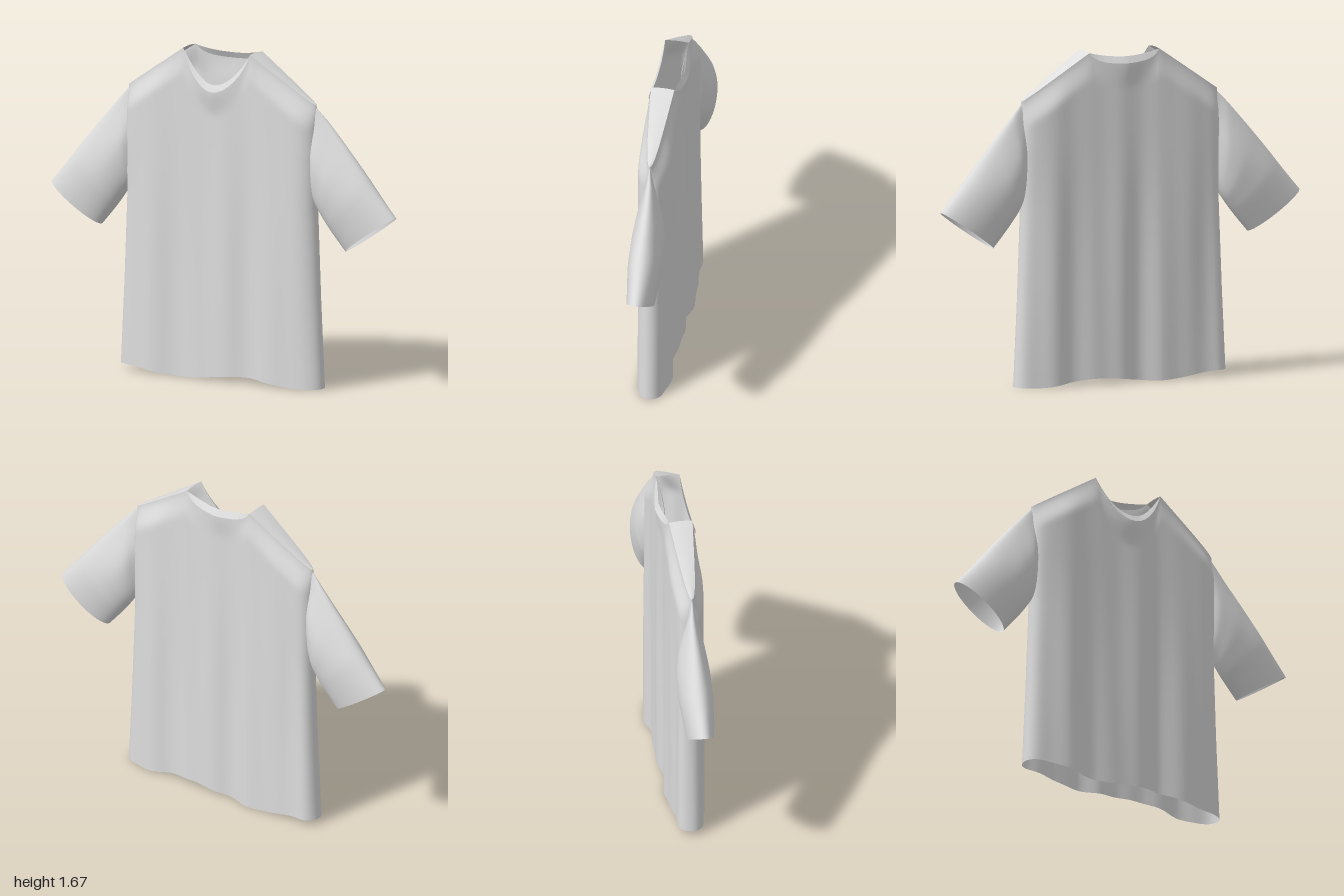
import * as THREE from 'three';
import { mergeGeometries, mergeVertices } from 'three/addons/utils/BufferGeometryUtils.js';

const { lerp, smoothstep } = THREE.MathUtils;
const SHOULDER_X = 0.545, NECK_X = 0.195, NECK_Y = 1.67, SHOULDER_Y = 1.44;

// Piecewise interpolation through [key, value] pairs
function table(pairs, k) {
  if (k <= pairs[0][0]) return pairs[0][1];
  for (let i = 1; i < pairs.length; i++) {
    const [a, va] = pairs[i - 1], [b, vb] = pairs[i];
    if (k <= b) return lerp(va, vb, (k - a) / (b - a));
  }
  return pairs[pairs.length - 1][1];
}

// Grid surface from a rule (i, j) -> [x, y, z]
function grid(nu, nv, rule, flip) {
  const pos = [], index = [];
  for (let j = 0; j <= nv; j++) for (let i = 0; i <= nu; i++) pos.push(...rule(i, j));
  for (let j = 0; j < nv; j++) for (let i = 0; i < nu; i++) {
    const a = j * (nu + 1) + i, b = a + 1, c = a + nu + 1, d = c + 1;
    if (flip) index.push(a, d, b, a, c, d);
    else index.push(a, b, d, a, d, c);
  }
  const g = new THREE.BufferGeometry();
  g.setAttribute('position', new THREE.Float32BufferAttribute(pos, 3));
  g.setIndex(index);
  return g;
}

function smooth(geometry) {
  const g = mergeVertices(geometry, 1e-4);
  g.computeVertexNormals();
  return g;
}

// Outline rules for the body
const bodyWidth = y => table([[0, 0.585], [0.45, 0.563], [0.9, 0.546], [1.2, 0.55], [1.44, SHOULDER_X]], y);
const hemY = x => 0.015 + 0.015 * Math.cos((x - 0.15) * 9);
const edgeRound = u => Math.sqrt(Math.max(0, 1 - Math.abs(u) ** 12));

// Neck opening: inner rim, and the seam where the collar meets the body
const neckT = x => Math.min(1, Math.abs(x) / NECK_X);
function neckRim(x, side) {
  const t = neckT(x);
  return side > 0 ? 1.503 + 0.167 * t ** 1.9 : 1.645 + 0.025 * t ** 2;
}
const neckSeam = (x, side) => neckRim(x, side) - 0.03 * (1 - neckT(x) ** 6);
const neckZ = (x, side) => 0.06 + (side > 0 ? 0.04 : 0.03) * (1 - neckT(x) ** 1.3);

function topY(x, side) {
  const ax = Math.abs(x);
  if (ax < NECK_X - 1e-6) return neckSeam(x, side);
  return lerp(NECK_Y, SHOULDER_Y, (ax - NECK_X) / (SHOULDER_X - NECK_X));
}
function topZ(x, side) {
  const ax = Math.abs(x);
  if (ax < NECK_X) return neckZ(x, side);
  return lerp(0.06, 0.02, (ax - NECK_X) / (SHOULDER_X - NECK_X));
}

// Soft vertical folds, different on front and back
function folds(x, y, side) {
  const drift = 0.12 * (1.4 - y);
  const f = side > 0
    ? Math.sin(17 * x + drift * 3 + 1.2) + 0.6 * Math.sin(29 * x - drift * 4)
    : Math.sin(19 * x - drift * 3 + 0.4) + 0.6 * Math.sin(33 * x + drift * 2 + 1);
  return 0.0085 * f * lerp(1, 0.35, smoothstep(y, 0.5, 1.4));
}

// Columns across the body, denser at the rounded sides
const neckU = NECK_X / SHOULDER_X, columns = [];
for (let k = 18; k > 0; k--) columns.push(-neckU - (1 - neckU) * Math.sin(k / 18 * Math.PI / 2));
for (let k = -12; k <= 12; k++) columns.push(neckU * k / 12);
for (let k = 1; k <= 18; k++) columns.push(neckU + (1 - neckU) * Math.sin(k / 18 * Math.PI / 2));

function bodyPanel(side) {
  const rows = 48;
  return grid(columns.length - 1, rows, (i, j) => {
    const u = columns[i], xTop = u * SHOULDER_X;
    const v = 1 - (1 - j / rows) ** 1.6;
    const top = topY(xTop, side);
    const y = lerp(hemY(u * 0.585), top, v);
    const x = u * bodyWidth(y);
    const blend = smoothstep(top - y, 0, 0.14);
    const z = lerp(topZ(xTop, side), 0.077 + folds(x, y, side), blend);
    return [x, y, side * z * edgeRound(u)];
  }, side < 0);
}

// Narrow strip over the shoulder joining front and back
function shoulderStrip(sx) {
  return grid(18, 4, (i, j) => {
    const u = neckU + (1 - neckU) * Math.sin(i / 18 * Math.PI / 2), x = u * SHOULDER_X;
    const w = 1 - j / 2;
    return [sx * x, topY(x, 1) + 0.004 * (1 - w * w), w * topZ(x, 1) * edgeRound(u)];
  }, sx < 0);
}

// Collar band standing just proud of the body
function collarBand(side) {
  return grid(32, 3, (i, j) => {
    const x = NECK_X * (i / 16 - 1), w = j / 3;
    const y = lerp(neckSeam(x, side) - 0.004, neckRim(x, side), w);
    const z = neckZ(x, side) + lerp(0.006, -0.012, w) * (1 - neckT(x) ** 4);
    return [x, y, side * z];
  }, side < 0);
}

// Sleeve lofted between its upper and lower edges, open at the cuff
const curve = pts => new THREE.CatmullRomCurve3(pts.map(([x, y]) => new THREE.Vector3(x, y, 0)));
const upperEdge = curve([[0.53, 1.443], [0.6, 1.37], [0.78, 1.165], [0.9, 1.02], [0.997, 0.908]]);
const lowerEdge = curve([[0.525, 0.96], [0.565, 0.895], [0.62, 0.82], [0.71, 0.713]]);

function sleeveShape(sx) {
  const around = 40, along = 24;
  return grid(around, along, (i, j) => {
    const s = j / along, angle = i / around * Math.PI * 2;
    const t = (1 - Math.cos(angle)) / 2;
    const p = upperEdge.getPoint(s).lerp(lowerEdge.getPoint(s), t);
    const depth = table([[0, 0.04], [0.15, 0.062], [0.4, 0.085], [0.65, 0.084], [1, 0.066]], s);
    const pinch = lerp(0.35 + 0.65 * smoothstep(t, 0, 0.6), 1, smoothstep(s, 0, 0.7));
    return [sx * p.x, p.y, Math.sin(angle) * depth * pinch - 0.011 * smoothstep(s, 0, 0.4)];
  }, sx < 0);
}

export function createModel() {
  const shirt = new THREE.Group();
  shirt.name = 'shortSleevedShirt';
  const cloth = new THREE.MeshStandardMaterial({ color: 0xdddddd, side: THREE.DoubleSide });
  cloth.name = 'lightGreyCloth';

  const add = (name, geometry) => {
    const mesh = new THREE.Mesh(smooth(geometry), cloth);
    mesh.name = name;
    shirt.add(mesh);
  };

  add('body', mergeGeometries([bodyPanel(1), bodyPanel(-1)]));
  add('frontCollar', collarBand(1));
  add('backCollar', collarBand(-1));
  for (const [side, sx] of [['left', 1], ['right', -1]]) {
    add(side + 'Shoulder', shoulderStrip(sx));
    add(side + 'Sleeve', sleeveShape(sx));
  }
  return shirt;
}
